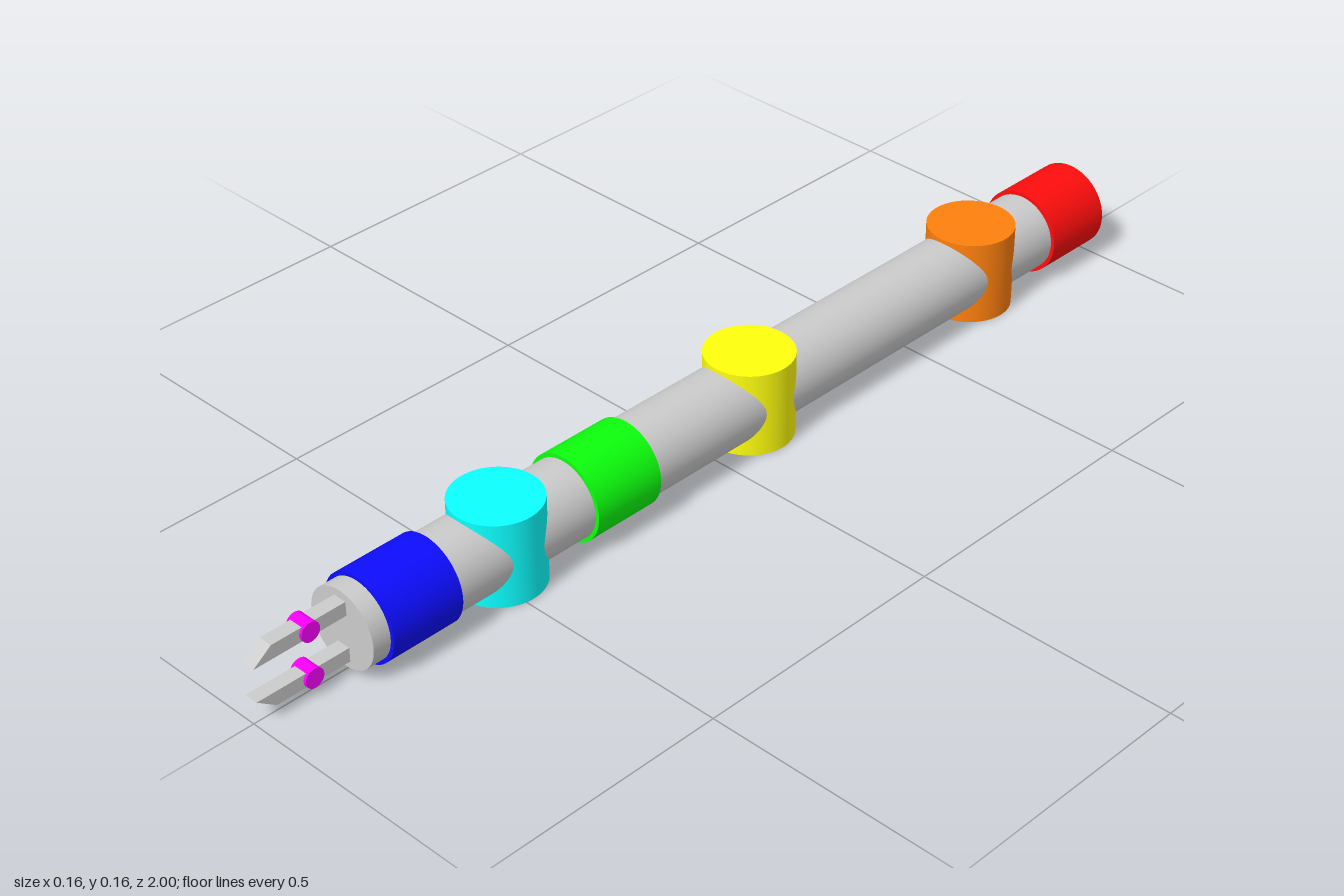
import * as THREE from 'three';

const AXIS_Y = 0.082; // height of the arm's centre line
const JOINT_R = 0.082;
const TUBE_R = 0.0745;

const paint = (color) => new THREE.MeshStandardMaterial({ color });

export function createModel() {
  const model = new THREE.Group();
  model.name = 'robotArm';
  const grey = paint(0xcccccc);
  const magenta = paint(0xff00ff);

  const add = (parent, name, geometry, material, x, y, z) => {
    const mesh = new THREE.Mesh(geometry, material);
    mesh.name = name;
    mesh.position.set(x, y, z);
    parent.add(mesh);
    return mesh;
  };

  // Cylinder lying along z between two ends
  const lengthwise = (name, radius, z0, z1, material) =>
    add(model, name, new THREE.CylinderGeometry(radius, radius, z1 - z0, 64).rotateX(Math.PI / 2),
      material, 0, AXIS_Y, (z0 + z1) / 2);

  // Arm links, running between the joint centres
  const stops = [-0.93, -0.705, -0.11, 0.262, 0.485, 0.708, 0.815];
  const links = ['baseLink', 'upperArm', 'elbowLink', 'forearm', 'wristLink', 'toolFlange'];
  links.forEach((name, i) => lengthwise(name, TUBE_R, stops[i], stops[i + 1], grey));

  // Roll joints: sleeves around the arm
  [
    ['baseRollJoint', -1, -0.855, 0xff0d0d],
    ['forearmRollJoint', 0.19, 0.335, 0x0dff0d],
    ['wristRollJoint', 0.635, 0.78, 0x0d0dff],
  ].forEach(([name, z0, z1, color]) => lengthwise(name, JOINT_R, z0, z1, paint(color)));

  // Pitch joints: upright cylinders across the arm
  [
    ['shoulderJoint', -0.705, 0xff800d],
    ['elbowJoint', -0.11, 0xffff0d],
    ['wristJoint', 0.485, 0x0dffff],
  ].forEach(([name, z, color]) =>
    add(model, name, new THREE.CylinderGeometry(JOINT_R, JOINT_R, 2 * AXIS_Y, 64), paint(color), 0, AXIS_Y, z));

  // Gripper fingers: square bars with a chamfered outer tip, mirrored by a half turn
  const h = 0.0135;
  const profile = new THREE.Shape([
    new THREE.Vector2(0.81, -h),
    new THREE.Vector2(1.0, -h),
    new THREE.Vector2(0.963, h),
    new THREE.Vector2(0.81, h),
  ]);
  const fingerGeometry = new THREE.ExtrudeGeometry(profile, { depth: 2 * h, bevelEnabled: false })
    .translate(0, 0, -h)
    .rotateY(-Math.PI / 2);
  const knuckleGeometry = new THREE.CylinderGeometry(0.0185, 0.0185, 0.038, 32).rotateZ(Math.PI / 2);
  for (const side of [1, -1]) {
    const finger = new THREE.Group();
    finger.name = side > 0 ? 'upperFinger' : 'lowerFinger';
    finger.position.y = AXIS_Y + side * 0.0455;
    if (side < 0) finger.rotation.z = Math.PI;
    add(finger, 'fingerBar', fingerGeometry, grey, 0, 0, 0);
    add(finger, 'fingerJoint', knuckleGeometry, magenta, 0, 0, 0.89);
    model.add(finger);
  }
  return model;
}
